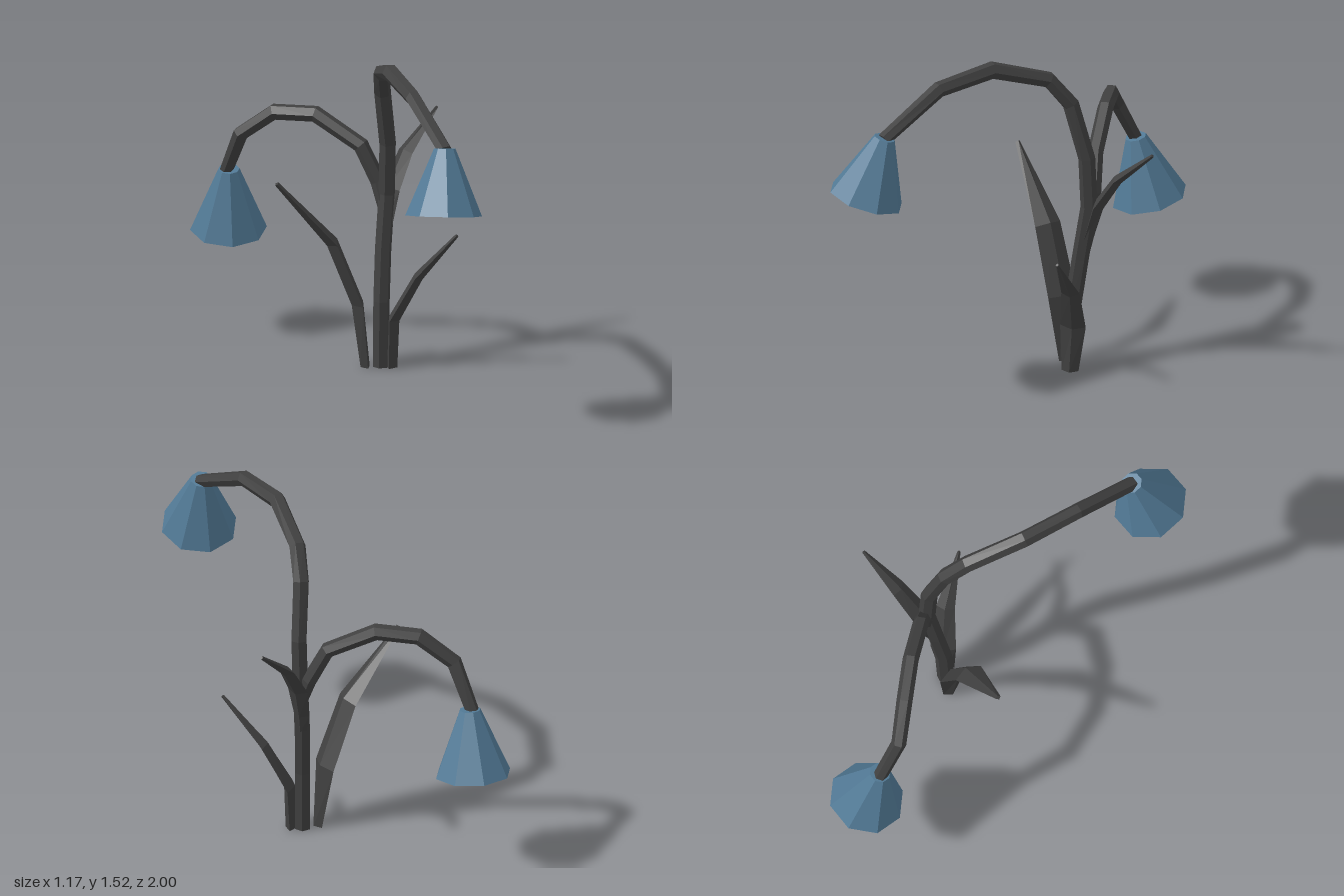
import * as THREE from 'three';

const V = (a) => new THREE.Vector3(...a);
const green = new THREE.MeshStandardMaterial({ color: 0x404040, flatShading: true });
const blue = new THREE.MeshStandardMaterial({ color: 0x527a96, flatShading: true });

// Closed sweep: each section is [x, y, z, halfWidth, halfThickness]; side is the width direction
function sweep(sections, side, sides) {
  const pts = sections.map((s) => V(s.slice(0, 3)));
  const pos = [], index = [], last = pts.length - 1;
  pts.forEach((p, i) => {
    const t = new THREE.Vector3();
    if (i > 0) t.add(p.clone().sub(pts[i - 1]).normalize());
    if (i < last) t.add(pts[i + 1].clone().sub(p).normalize());
    if (p.y === 0) t.set(0, 1, 0); // keep feet flat on the ground
    t.normalize();
    const u = V(side).addScaledVector(t, -V(side).dot(t)).normalize();
    const n = t.clone().cross(u);
    const [w, h] = sections[i].slice(3);
    for (let j = 0; j < sides; j++) {
      const a = (j / sides) * Math.PI * 2;
      const q = p.clone().addScaledVector(u, Math.cos(a) * w).addScaledVector(n, Math.sin(a) * h);
      pos.push(q.x, q.y, q.z);
    }
  });
  for (let j = 0; j < sides; j++) {
    const k = (j + 1) % sides, e = last * sides;
    for (let i = 0; i < last; i++) {
      const a = i * sides + j, b = i * sides + k;
      index.push(a, b, b + sides, a, b + sides, a + sides);
    }
    if (j > 0 && j < sides - 1) index.push(0, k, j, e, e + j, e + k); // end caps
  }
  const g = new THREE.BufferGeometry();
  g.setAttribute('position', new THREE.Float32BufferAttribute(pos, 3));
  g.setIndex(index);
  g.computeVertexNormals();
  return g;
}

// Eight-sided bell hanging from top to the centre of its mouth
function bell(top, mouth) {
  const axis = V(top).sub(V(mouth));
  const g = new THREE.CylinderGeometry(0.048, 0.172, axis.length(), 8);
  const m = new THREE.Mesh(g, blue);
  m.quaternion.setFromUnitVectors(new THREE.Vector3(0, 1, 0), axis.clone().normalize());
  m.position.copy(V(mouth)).addScaledVector(axis, 0.5);
  return m;
}

export function createModel() {
  const group = new THREE.Group();
  const add = (name, mesh) => {
    mesh.name = name;
    group.add(mesh);
  };
  const part = (name, sections, side, sides) => add(name, new THREE.Mesh(sweep(sections, side, sides), green));

  // Stems
  part('mainStem', [
    [0.165, 0, 0, 0.038, 0.038], [0.175, 0.3, -0.005, 0.038, 0.038], [0.205, 0.53, -0.02, 0.038, 0.038],
    [0.243, 0.78, -0.03, 0.038, 0.038], [0.237, 1.02, -0.02, 0.038, 0.038], [0.17, 1.28, 0.005, 0.038, 0.038],
    [0.09, 1.405, 0.065, 0.038, 0.038], [-0.09, 1.49, 0.26, 0.038, 0.04], [-0.23, 1.46, 0.5, 0.036, 0.036],
    [-0.355, 1.3, 0.785, 0.034, 0.03],
  ], [0.82, 0, 0.57], 6);
  part('backStem', [
    [0.235, 0.7, -0.03, 0.03, 0.03], [0.24, 0.83, -0.075, 0.036, 0.036], [0.21, 0.99, -0.15, 0.036, 0.036],
    [0.147, 1.11, -0.36, 0.036, 0.038], [0.08, 1.1, -0.54, 0.036, 0.038], [0.027, 0.98, -0.69, 0.034, 0.036],
    [0.062, 0.775, -0.8, 0.032, 0.03],
  ], [0.95, 0, -0.31], 6);

  // Flowers
  add('frontFlower', bell([-0.352, 1.31, 0.78], [-0.42, 1.022, 0.828]));
  add('backFlower', bell([0.068, 0.785, -0.79], [0.115, 0.487, -0.83]));

  // Leaves
  part('leftLeaf', [
    [0.225, 0.55, -0.03, 0.025, 0.02], [0.24, 0.64, -0.035, 0.04, 0.025], [0.285, 0.79, -0.04, 0.05, 0.026],
    [0.385, 0.94, -0.036, 0.04, 0.022], [0.575, 1.107, -0.01, 0.008, 0.008],
  ], [0, 0, 1], 4);
  part('backLeaf', [
    [0.115, 0, -0.05, 0.035, 0.022], [0.085, 0.3, -0.07, 0.072, 0.028],
    [-0.02, 0.6, -0.13, 0.065, 0.028], [-0.245, 0.902, -0.265, 0.012, 0.01],
  ], [0.5, 0, -0.86], 4);
  part('frontLeaf', [
    [0.188, 0, 0.045, 0.038, 0.025], [0.202, 0.22, 0.045, 0.058, 0.026],
    [0.247, 0.43, 0.15, 0.042, 0.022], [0.282, 0.65, 0.34, 0.007, 0.008],
  ], [0.95, 0, -0.3], 4);
  return group;
}
